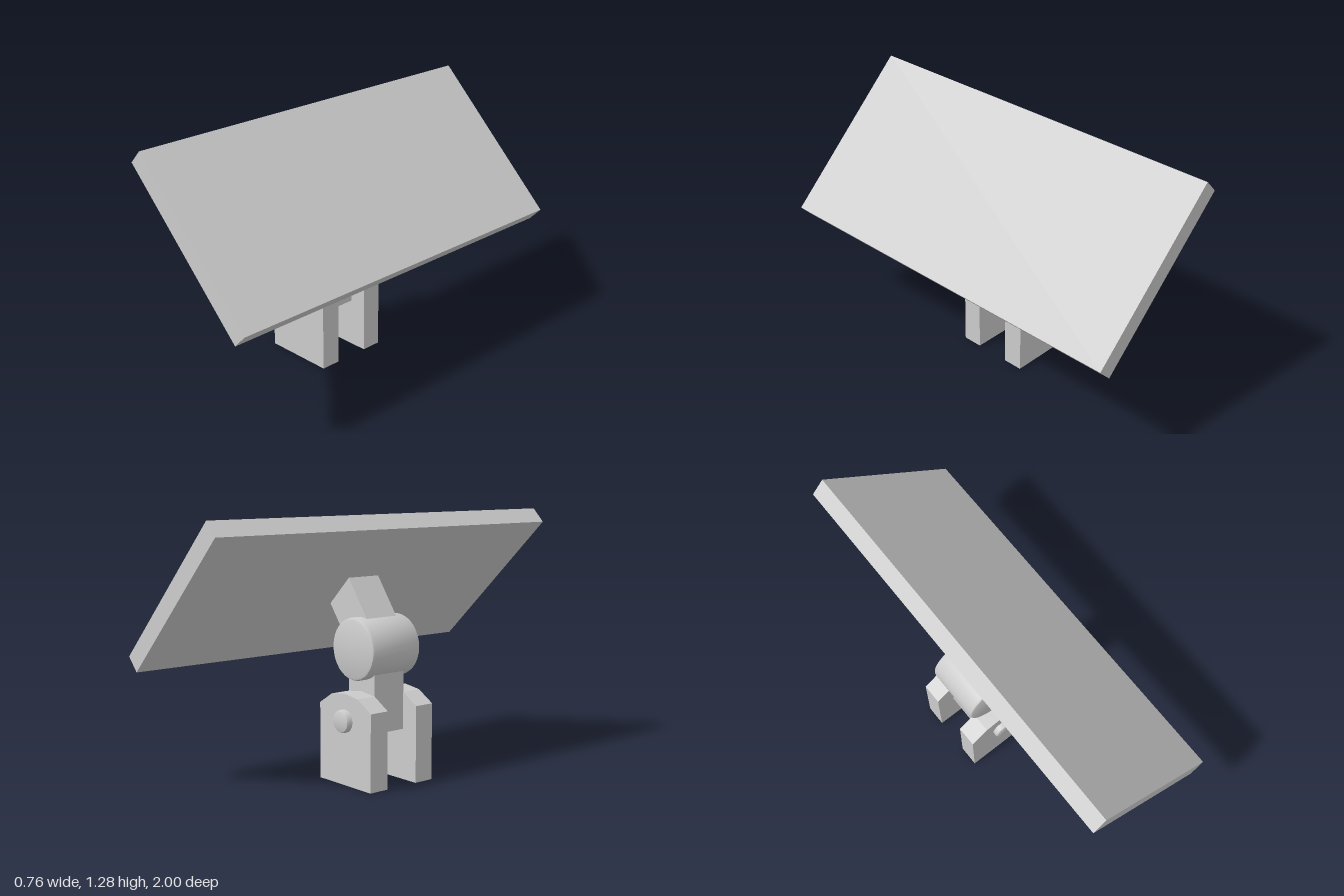
import * as THREE from 'three';
import { toCreasedNormals } from 'three/addons/utils/BufferGeometryUtils.js';

const material = new THREE.MeshStandardMaterial({ color: 0xcccccc });

function add(parent, name, geometry, x = 0, y = 0, z = 0) {
  const mesh = new THREE.Mesh(geometry, material);
  mesh.name = name;
  mesh.position.set(x, y, z);
  parent.add(mesh);
  return mesh;
}

// Flat plate: an outline in x/y, given depth along z and centred on z = 0
function plate(points, depth) {
  const shape = new THREE.Shape(points.map(([x, y]) => new THREE.Vector2(x, y)));
  return new THREE.ExtrudeGeometry(shape, { depth, bevelEnabled: false }).translate(0, 0, -depth / 2);
}

// Cylinder along z with softened rims
function roundBar(radius, halfLength, bevel, segments) {
  const h = halfLength, b = bevel;
  const profile = [
    [0, -h], [radius - b, -h], [radius - b * 0.3, -h + b * 0.3], [radius, -h + b],
    [radius, h - b], [radius - b * 0.3, h - b * 0.3], [radius - b, h], [0, h],
  ].map(([r, y]) => new THREE.Vector2(r, y));
  const geometry = new THREE.LatheGeometry(profile, segments).rotateX(Math.PI / 2);
  return toCreasedNormals(geometry, 0.6);
}

export function createModel() {
  const model = new THREE.Group();
  model.name = 'tiltingPanelMount';
  const axisX = -0.197;

  // Pair of base lugs with faceted tops
  const lugOutline = [
    [-0.382, 0], [-0.012, 0], [-0.012, 0.373], [-0.1, 0.428],
    [axisX, 0.441], [-0.29, 0.428], [-0.382, 0.373],
  ];
  for (const side of [1, -1]) {
    add(model, side > 0 ? 'frontLug' : 'backLug', plate(lugOutline, 0.104), 0, 0, side * 0.142);
  }

  // Pin through the lugs, and the post it carries
  add(model, 'pivotPin', roundBar(0.055, 0.226, 0.012, 24), axisX, 0.311, 0);
  add(model, 'post', new THREE.BoxGeometry(0.186, 0.375, 0.184), axisX, 0.435, 0);

  // Tilt hub
  add(model, 'tiltHub', roundBar(0.149, 0.148, 0.014, 32), axisX, 0.645, 0);

  // Slanted arm from the hub into the panel
  const armOutline = [[-0.28, 0.725], [-0.12, 0.628], [0.047, 0.857], [-0.093, 0.987]];
  add(model, 'arm', plate(armOutline, 0.184));

  // Tilted panel
  const panel = add(model, 'panel', new THREE.BoxGeometry(0.926, 0.092, 2), 0.015, 0.92, 0);
  panel.rotation.z = -0.77;

  return model;
}
